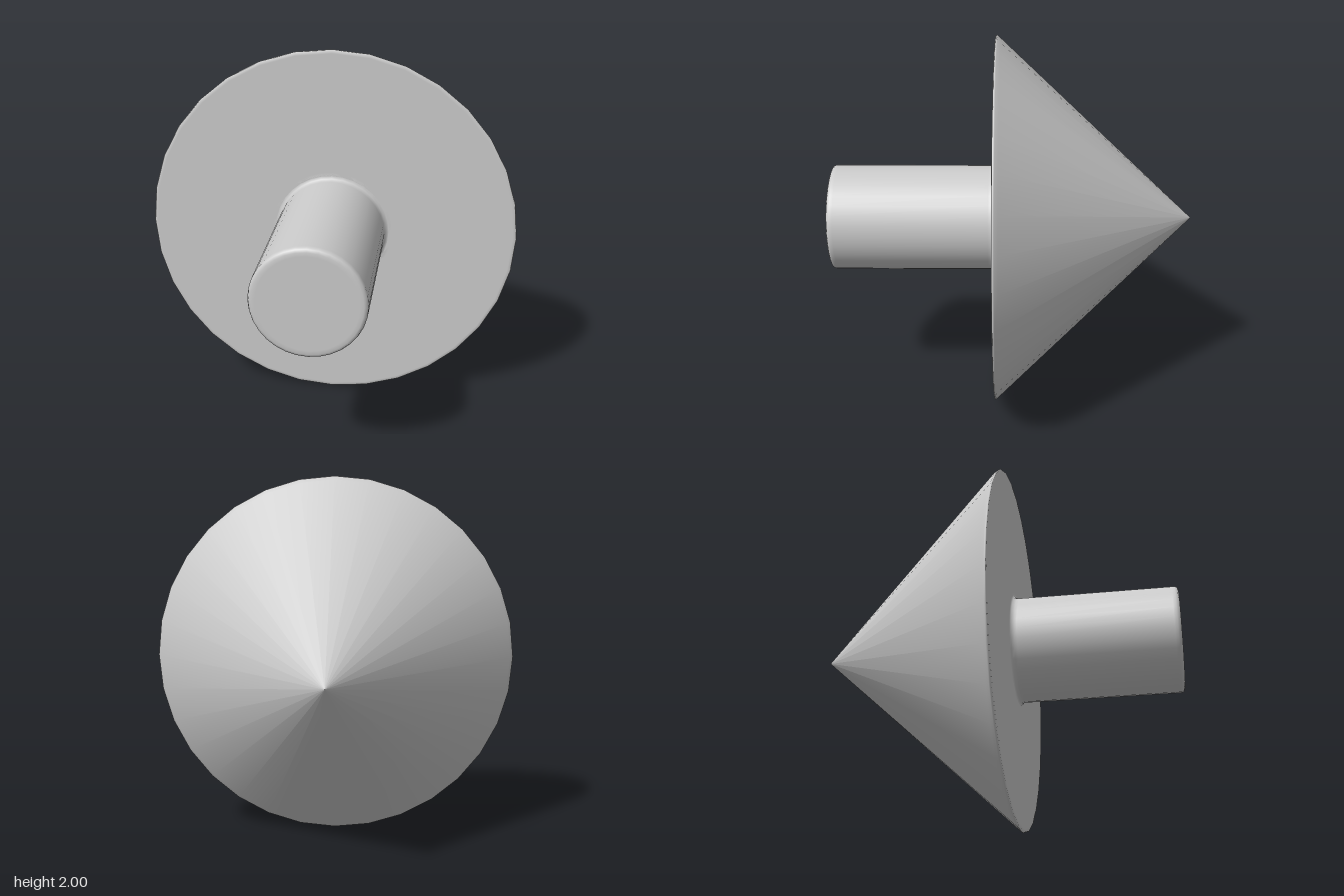
import * as THREE from 'three';

const SIDES = 32;

// Solid of revolution along z from [radius, z] pairs, ordered back to front
function turned(name, profile) {
  const points = profile.map(([r, z]) => new THREE.Vector2(r, z));
  const geometry = new THREE.LatheGeometry(points, SIDES);
  geometry.rotateX(Math.PI / 2);
  const mesh = new THREE.Mesh(geometry, new THREE.MeshStandardMaterial({ color: 0xcccccc }));
  mesh.name = name;
  mesh.position.y = 1;
  return mesh;
}

export function createModel() {
  const group = new THREE.Group();
  group.name = 'coneOnStem';

  // Cone pointing back, with a thin softened rim and a flat front face
  group.add(turned('coneHead', [
    [0, -0.99], [0.98, 0.06], [0.997, 0.078], [1, 0.085],
    [0.996, 0.09], [0.98, 0.092], [0.31, 0.092],
  ]));

  // Round stem with a small fillet at the cone and a softened front edge
  group.add(turned('stem', [
    [0.33, 0.092], [0.31, 0.092], [0.296, 0.098], [0.29, 0.115], [0.29, 0.13],
    [0.29, 0.955], [0.29, 0.97], [0.284, 0.984], [0.27, 0.99], [0.25, 0.99], [0, 0.99],
  ]));

  return group;
}
